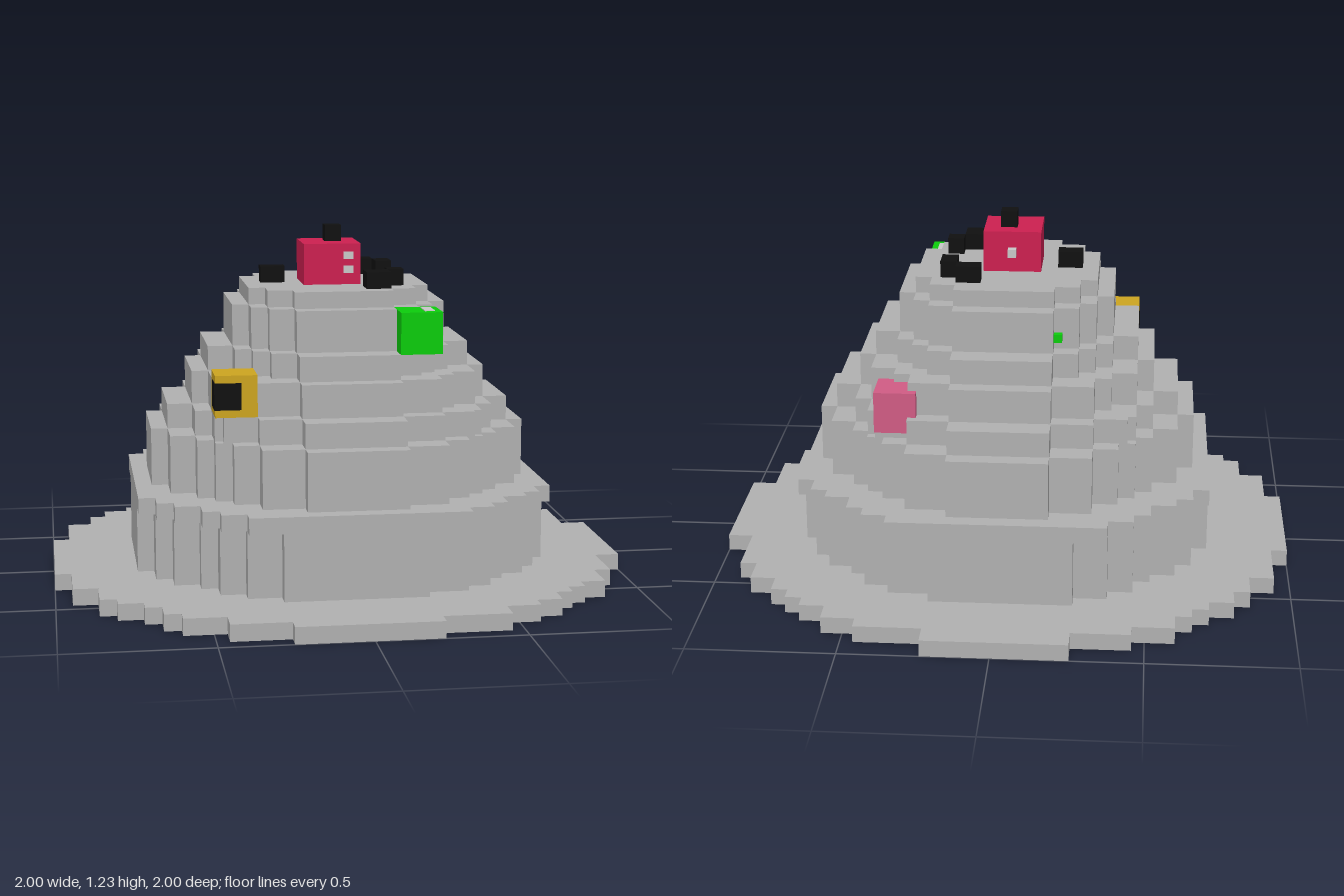
import * as THREE from 'three';

const U = 2 / 70; // one voxel

const paint = (name, color) => {
  const m = new THREE.MeshStandardMaterial({ color });
  m.name = name;
  return m;
};

// Stair-stepped round outline: the step widths pair up first-to-last.
// "neg" gives the widths towards -x and +z where they differ by a voxel.
function steppedDisc(pos, neg = pos) {
  const n = pos.length, pts = [];
  for (const [sx, sz] of [[1, 1], [-1, 1], [-1, -1], [1, -1]]) {
    const xs = sx > 0 ? pos : neg, zs = sz > 0 ? neg : pos, quarter = [];
    for (let k = 0; k < n; k++) {
      quarter.push([sx * xs[k], sz * zs[n - 1 - k]]);
      if (k < n - 1) quarter.push([sx * xs[k], sz * zs[n - 2 - k]]);
    }
    // walk every quadrant in the same direction round the disc
    if (sx * sz > 0) quarter.reverse();
    pts.push(...quarter);
  }
  return new THREE.Shape(pts.map(([x, z]) => new THREE.Vector2(x * U, z * U)));
}

export function createModel() {
  const model = new THREE.Group();
  model.name = 'steppedHat';
  const grey = paint('stone grey', 0xb0b0b0);
  const black = paint('black', 0x101010);
  const red = paint('crimson', 0xcc2050);
  const green = paint('green', 0x0ccc0c);
  const yellow = paint('mustard', 0xcca420);
  const pink = paint('rose pink', 0xd05c84);
  const pale = paint('pale grey', 0xc8c8c8);

  const add = (name, geo, mat) => {
    const mesh = new THREE.Mesh(geo, mat);
    mesh.name = name;
    model.add(mesh);
  };
  const tier = (name, y0, y1, pos, neg) => {
    const g = new THREE.ExtrudeGeometry(steppedDisc(pos, neg), { depth: (y1 - y0) * U, bevelEnabled: false });
    g.rotateX(Math.PI / 2).translate(0, y1 * U, 0);
    add(name, g, grey);
  };
  // box between voxel limits, optionally grown a little to sit proud
  const block = (name, mat, [x0, x1], [y0, y1], [z0, z1], grow = 0) => {
    const g = new THREE.BoxGeometry((x1 - x0 + grow) * U, (y1 - y0 + grow) * U, (z1 - z0 + grow) * U);
    g.translate((x0 + x1) / 2 * U, (y0 + y1) / 2 * U, (z0 + z1) / 2 * U);
    add(name, g, mat);
  };

  // Brim and stacked tiers
  tier('brim', 0, 2, [8, 16, 20, 23, 25, 27, 30, 32, 35], [9, 16, 21, 23, 25, 28, 30, 33, 35]);
  tier('lowerWall', 2, 10, [8, 13, 16, 18, 21, 23, 25], [9, 13, 16, 18, 21, 23, 25]);
  [
    [10, 12, [13, 16, 18, 21, 23, 25]],
    [12, 19, [6, 11, 14, 16, 18, 21, 23]],
    [19, 22, [6, 11, 15, 16, 18, 21]],
    [22, 26, [6, 11, 13, 16, 18]],
    [26, 29, [6, 9, 11, 13, 16]],
    [29, 34, [6, 9, 11, 13]],
    [34, 36, [6, 9, 11]],
  ].forEach(([y0, y1, steps], i) => tier(`tier${i + 1}`, y0, y1, steps));

  // Red cube on the summit, with its knob and pale marks
  block('redCube', red, [-4, 3], [36, 41], [-3, 4]);
  block('topKnob', black, [-1, 1], [41, 43], [-1, 1]);
  for (const y of [37.4, 39.1]) block('frontMark', pale, [0.9, 2.1], [y, y + 0.9], [3.95, 4.1]);
  block('backNub', pale, [-1, 0], [38, 39], [-4, -3]);

  // Black stones around the cube
  [
    [[-9, -6], [-1, 1]],
    [[3, 6], [-8, -6]],
    [[6, 8], [-6, -3]],
    [[6, 8], [4, 6]],
    [[3, 6], [6, 9]],
  ].forEach(([x, z]) => block('blackStone', black, x, [36, 38], z));

  // Green cube with a pale glint, and a green speck at the back
  block('greenCube', green, [6, 11], [29, 34], [11, 16]);
  block('greenGlint', pale, [9, 10.2], [33.95, 34.1], [12, 15]);
  block('greenSpeck', green, [-7, -6], [30, 31], [-12, -11]);

  // Yellow cube with a black corner patch
  block('yellowCube', yellow, [-16, -11], [22, 27], [11, 16]);
  block('blackPatch', black, [-16, -13], [23, 26], [13, 16], 0.2);

  // Pink cube at the back
  block('pinkCube', pink, [10, 15], [20, 25], [-17, -12]);

  return model;
}
